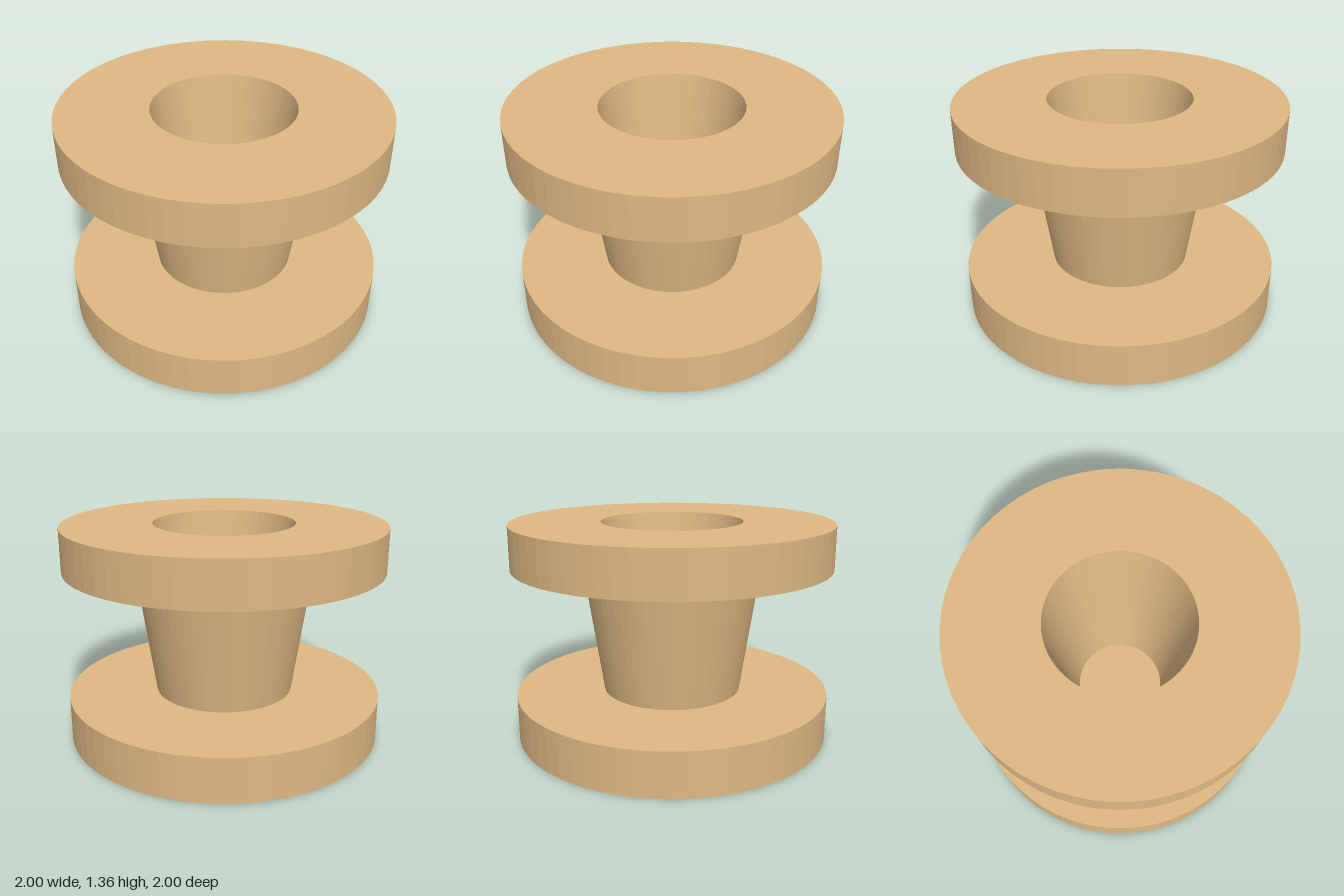
import * as THREE from 'three';

const SEGMENTS = 64;
const FLANGE_TOP = 0.28;   // top of the lower flange, also the bore floor
const UPPER_BOTTOM = 1.09; // underside of the upper flange
const HEIGHT = 1.36;

export function createModel() {
  const group = new THREE.Group();
  group.name = 'spool';
  const material = new THREE.MeshStandardMaterial({ color: 0xdeb883, flatShading: true });

  // Turned part from [radius, height] points, with the solid to the left of the path
  const turn = (name, profile) => {
    const points = profile.map(([r, y]) => new THREE.Vector2(r, y));
    const mesh = new THREE.Mesh(new THREE.LatheGeometry(points, SEGMENTS), material);
    mesh.name = name;
    group.add(mesh);
  };

  // Solid disc at the bottom
  turn('lowerFlange', [[0, 0], [1, 0], [1, FLANGE_TOP], [0.44, FLANGE_TOP]]);

  // Hub that widens upwards between the flanges
  turn('hub', [[0.44, FLANGE_TOP], [0.56, UPPER_BOTTOM]]);

  // Ring-shaped disc at the top
  turn('upperFlange', [[0.56, UPPER_BOTTOM], [1, UPPER_BOTTOM], [1, HEIGHT], [0.44, HEIGHT]]);

  // Tapered blind hole, parallel to the hub wall, with a flat floor
  turn('bore', [[0.44, HEIGHT], [0.28, FLANGE_TOP], [0, FLANGE_TOP]]);

  return group;
}
